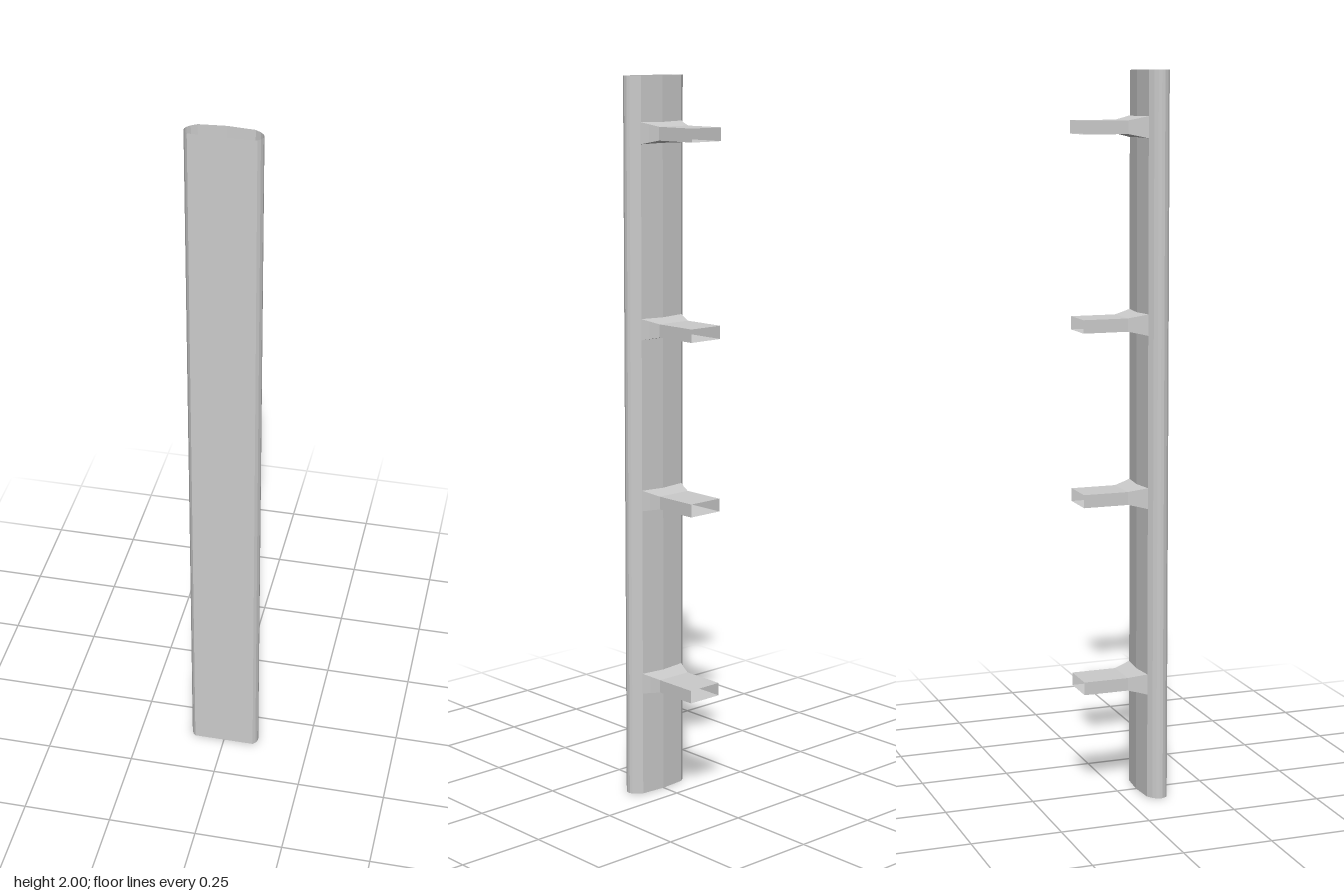
import * as THREE from 'three';

const material = new THREE.MeshStandardMaterial({ color: 0xcccccc, flatShading: true, side: THREE.DoubleSide });

// Open-ended skin over a series of closed rings of equal length
function loft(rings, name) {
  const n = rings[0].length;
  const index = [];
  for (let r = 0; r < rings.length - 1; r++) {
    for (let i = 0; i < n; i++) {
      const a = r * n + i, b = r * n + (i + 1) % n;
      index.push(a, b, b + n, a, b + n, a + n);
    }
  }
  const geometry = new THREE.BufferGeometry();
  geometry.setAttribute('position', new THREE.Float32BufferAttribute(rings.flat(2), 3));
  geometry.setIndex(index);
  geometry.computeVertexNormals();
  const mesh = new THREE.Mesh(geometry, material);
  mesh.name = name;
  return mesh;
}

export function createModel() {
  const model = new THREE.Group();
  model.name = 'railWithBrackets';

  // Hollow rail: flat front, rounded edges, slightly crowned back (x, z)
  const half = [
    [0.087, 0.115], [0.094, 0.108], [0.099, 0.098], [0.099, 0.089],
    [0.095, 0.081], [0.087, 0.072], [0.072, 0.062],
  ];
  const mirrored = half.map(([x, z]) => [-x, z]).reverse();
  const profile = [...half, [0, 0.056], ...mirrored].reverse();
  model.add(loft([2, 0].map((y) => profile.map(([x, z]) => [x, y, z])).reverse(), 'rail'));

  // Hollow brackets flaring out where they meet the rail: z, half width, half height
  const sections = [
    [-0.115, 0.052, 0.018], [0.012, 0.052, 0.018], [0.04, 0.063, 0.024], [0.062, 0.073, 0.029],
  ];
  const rings = sections.map(([z, w, h]) => [[-w, -h, z], [w, -h, z], [w, h, z], [-w, h, z]]);
  for (const y of [0.325, 0.85, 1.325, 1.85]) {
    const bracket = loft(rings, 'bracket');
    bracket.position.y = y;
    model.add(bracket);
  }
  return model;
}
